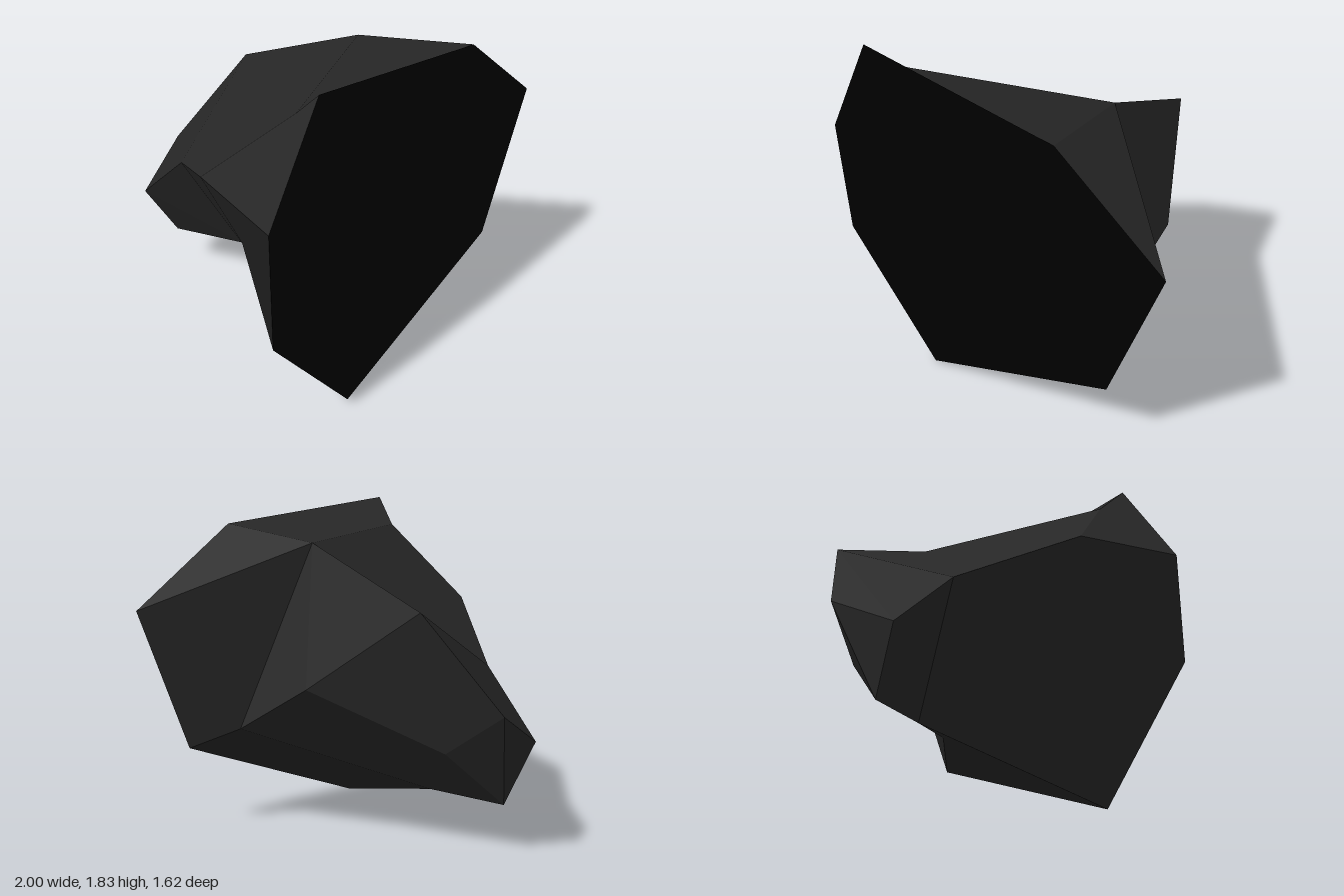
import * as THREE from 'three';

// Corner points of the faceted boulder
const P = {
  // flat front rim, clockwise from the upper left
  F0: [-0.70, 1.825, 0.81], F1: [0.42, 1.67, 0.81], F2: [1.00, 1.22, 0.81], F3: [0.705, 0.44, 0.81],
  F4: [-0.44, 0.00, 0.81], F5: [-0.98, 0.675, 0.81], F6: [-1.00, 1.295, 0.81],
  // crown
  G: [-0.65, 1.66, 0.64], A: [0.305, 1.575, 0.20], B: [0.23, 1.26, -0.535],
  L: [-0.81, 1.235, 0.20], K: [-0.44, 0.92, -0.36],
  // flank and tail
  H: [0.51, 0.85, 0.00], I: [0.52, 0.56, 0.58], J: [0.06, 0.545, -0.54],
  C: [-0.07, 0.755, -0.81], M: [-0.41, 0.57, -0.725], D: [-0.24, 0.255, -0.665], E: [-0.11, 0.28, -0.26],
};

// Facets of each part, corners counter-clockwise from outside, fanned from the first corner
const CROWN = ['F1 A G F0', 'F6 F0 G L', 'A B K L G', 'B C M K'];
const FLANK = ['F1 F2 A', 'F2 I A', 'F2 F3 I', 'A I H B', 'B H J C', 'C J D', 'C D M'];
const UNDERSIDE = ['I F3 F4 E', 'E D J H I', 'M D E', 'M E K', 'E F4 F5 F6 L K'];
const FRONT = ['F6 F5 F4 F3 F2 F1 F0'];

// Builds every facet from unshared triangles that carry one common normal
function facets(name, faces, material) {
  const positions = [];
  const normals = [];
  for (const face of faces) {
    const c = face.split(' ').map((key) => new THREE.Vector3(...P[key]));
    const normal = new THREE.Vector3();
    for (let i = 1; i < c.length - 1; i++) {
      const u = c[i].clone().sub(c[0]);
      const v = c[i + 1].clone().sub(c[0]);
      normal.add(u.cross(v));
      positions.push(...c[0], ...c[i], ...c[i + 1]);
    }
    normal.normalize();
    for (let i = 0; i < 3 * (c.length - 2); i++) normals.push(...normal);
  }
  const geometry = new THREE.BufferGeometry();
  geometry.setAttribute('position', new THREE.Float32BufferAttribute(positions, 3));
  geometry.setAttribute('normal', new THREE.Float32BufferAttribute(normals, 3));
  const mesh = new THREE.Mesh(geometry, material);
  mesh.name = name;
  return mesh;
}

export function createModel() {
  const rock = new THREE.MeshStandardMaterial({ color: 0x272727 });
  rock.name = 'dark rock';
  const hollow = new THREE.MeshStandardMaterial({ color: 0x000000 });
  hollow.name = 'black opening';

  const model = new THREE.Group();
  model.name = 'boulder';
  model.add(
    facets('crown', CROWN, rock),
    facets('flank', FLANK, rock),
    facets('underside', UNDERSIDE, rock),
    facets('frontOpening', FRONT, hollow),
  );
  return model;
}
